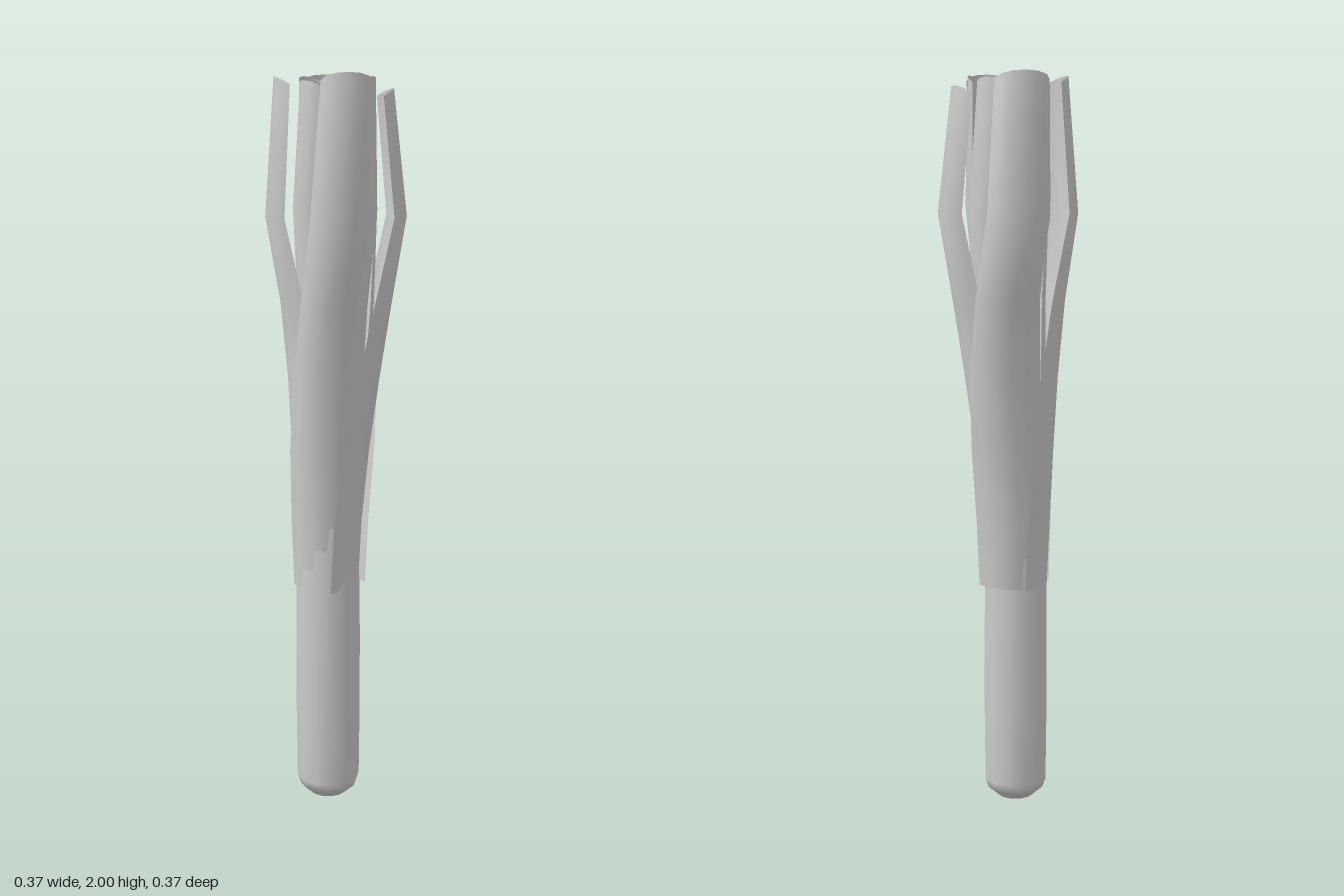
import * as THREE from 'three';

const skin = new THREE.MeshStandardMaterial({ color: 0xcccccc, side: THREE.DoubleSide });

// The stalk stands slightly off centre; the leaves drift back to the middle.
const axisX = (y) => -0.024 * (1 - THREE.MathUtils.smoothstep(y, 0.7, 1.5));

// Rows: [height, outer reach, half width, depth of the curl, sideways drift]
const outerRows = [
  [0.62, 0.083, 0.083, 0.085, -0.01],
  [0.8, 0.09, 0.086, 0.085, -0.015],
  [1.0, 0.102, 0.088, 0.08, -0.024],
  [1.2, 0.12, 0.084, 0.07, -0.03],
  [1.4, 0.145, 0.076, 0.056, -0.028],
  [1.63, 0.186, 0.076, 0.044, -0.008],
  [1.98, 0.155, 0.066, 0.036, 0.01],
];
const middleRows = [
  [0.7, 0.07, 0.07, 0.07, 0],
  [1.1, 0.088, 0.068, 0.065, -0.012],
  [1.4, 0.1, 0.058, 0.05, -0.015],
  [1.65, 0.122, 0.052, 0.04, -0.005],
  [1.98, 0.108, 0.044, 0.032, 0.008],
];
const innerRows = [
  [0.7, 0.05, 0.05, 0.05, 0],
  [1.2, 0.062, 0.05, 0.045, -0.01],
  [1.6, 0.076, 0.042, 0.036, -0.005],
  [1.95, 0.064, 0.036, 0.03, 0.005],
];

// A curled leaf blade skinned through its arc-shaped rows.
function leaf(name, degrees, rows, { reach = 1, width = 1, top = 0, tip = 0 } = {}) {
  const steps = 6;
  const a = THREE.MathUtils.degToRad(degrees); // 0 = front, 90 = +x
  const pos = [];
  const index = [];
  rows.forEach(([y, r, hw, depth, drift], i) => {
    const last = i === rows.length - 1;
    const out = r * reach + (last ? tip : 0);
    for (let j = 0; j <= steps; j++) {
      const t = (j / steps) * 2 - 1;
      const side = drift + (hw * width * Math.sin(t * 1.4)) / Math.sin(1.4);
      const d = out - (depth * (1 - Math.cos(t * 1.4))) / (1 - Math.cos(1.4));
      const rim = last ? top - 0.02 * t * t : 0;
      pos.push(
        axisX(y) + Math.sin(a) * d + Math.cos(a) * side,
        y + rim,
        Math.cos(a) * d - Math.sin(a) * side
      );
      if (i > 0 && j > 0) {
        const q = i * (steps + 1) + j;
        const p = q - steps - 1;
        index.push(p - 1, p, q, p - 1, q, q - 1);
      }
    }
  });
  const geo = new THREE.BufferGeometry();
  geo.setAttribute('position', new THREE.Float32BufferAttribute(pos, 3));
  geo.setIndex(index);
  geo.computeVertexNormals();
  const mesh = new THREE.Mesh(geo, skin);
  mesh.name = name;
  return mesh;
}

// A round part turned about the stalk axis.
function turned(name, profile, sides) {
  const points = profile.map(([r, y]) => new THREE.Vector2(r, y));
  const mesh = new THREE.Mesh(new THREE.LatheGeometry(points, sides), skin);
  mesh.name = name;
  return mesh;
}

export function createModel() {
  const model = new THREE.Group();
  model.name = 'leek';

  // White stalk with its blunt, bevelled root end
  const stalk = turned('stalk', [
    [0, 0], [0.05, 0.01], [0.078, 0.035], [0.087, 0.06],
    [0.089, 0.25], [0.089, 0.48], [0.086, 0.7], [0.083, 0.8],
  ], 12);
  stalk.position.set(axisX(0), 0, 0.004);
  model.add(stalk);

  // Rolled heart, open at the top
  const heart = turned('heart', [
    [0.06, 0.7], [0.058, 1.0], [0.045, 1.4], [0.045, 1.7], [0.03, 1.92],
  ], 8);
  heart.position.set(-0.012, 0, -0.004);
  model.add(heart);

  // Outer leaves bow outwards, then bend back in at the tips
  model.add(
    leaf('frontLeaf', 0, outerRows, { reach: 0.98, top: 0.02, tip: 0.024 }),
    leaf('leftLeaf', 90, outerRows, { top: -0.02, tip: -0.003 }),
    leaf('backLeaf', 180, outerRows, { reach: 0.985, width: 1.12, top: 0.015, tip: -0.012 }),
    leaf('rightLeaf', 270, outerRows, { reach: 1.01, width: 1.1, top: 0.01, tip: 0.008 })
  );

  // Middle leaves fill the gaps between the outer ones
  [48, 130, 222, 298].forEach((deg, i) =>
    model.add(leaf('middleLeaf' + (i + 1), deg, middleRows, { top: 0.01 - 0.01 * (i % 2), width: 1 + 0.1 * (i % 2) }))
  );

  // Inner leaves hug the heart
  [10, 135, 250].forEach((deg, i) =>
    model.add(leaf('innerLeaf' + (i + 1), deg, innerRows, { top: 0.015 * i }))
  );

  return model;
}
